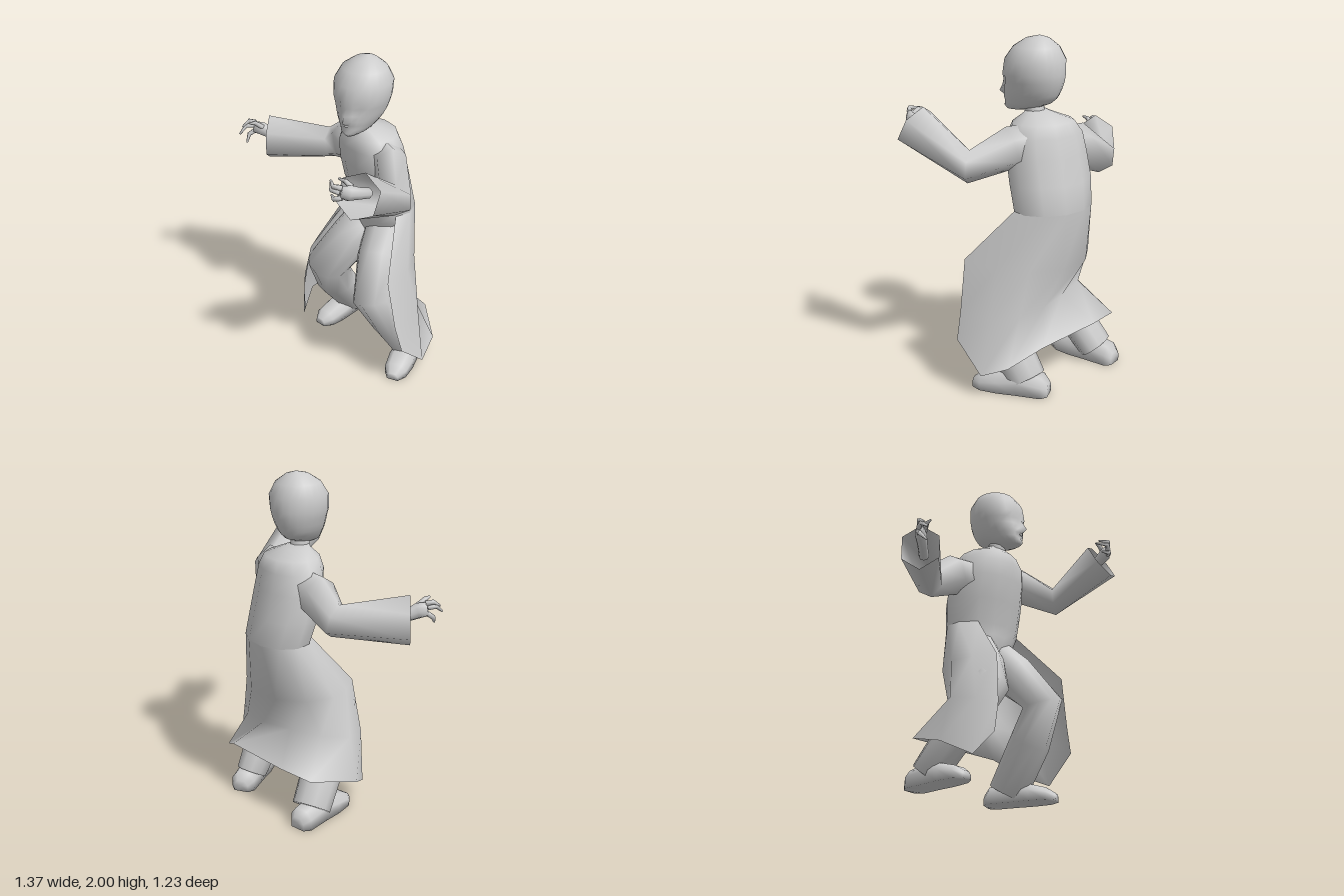
import * as THREE from 'three';

const V = (x, y, z) => new THREE.Vector3(x, y, z);
const grey = new THREE.MeshStandardMaterial({ color: 0xcccccc });
const cloth = new THREE.MeshStandardMaterial({ color: 0xcccccc, side: THREE.DoubleSide });

// Skin a list of equal-length rings of points, optionally closing the loop and the ends
function loft(name, rings, { closed = true, caps = true, material = grey } = {}) {
  const n = rings[0].length, pos = [], idx = [];
  rings.forEach(r => r.forEach(p => pos.push(p.x, p.y, p.z)));
  for (let i = 0; i < rings.length - 1; i++) {
    for (let j = 0; j < (closed ? n : n - 1); j++) {
      const k = (j + 1) % n, a = i * n, b = a + n;
      idx.push(a + j, a + k, b + k, a + j, b + k, b + j);
    }
  }
  if (caps) {
    [0, rings.length - 1].forEach((i, end) => {
      const c = rings[i].reduce((s, p) => s.add(p), V(0, 0, 0)).divideScalar(n);
      const ci = pos.length / 3;
      pos.push(c.x, c.y, c.z);
      for (let j = 0; j < n; j++) {
        const p = i * n + j, q = i * n + (j + 1) % n;
        idx.push(...(end ? [ci, p, q] : [ci, q, p]));
      }
    });
  }
  const g = new THREE.BufferGeometry();
  g.setAttribute('position', new THREE.Float32BufferAttribute(pos, 3));
  g.setIndex(idx);
  g.computeVertexNormals();
  const mesh = new THREE.Mesh(g, material);
  mesh.name = name;
  return mesh;
}

// n points of an ellipse arc; a full turn by default
function ellipse(c, u, v, n, from = 0, step = Math.PI * 2 / n) {
  return Array.from({ length: n }, (_, k) => {
    const t = from + k * step;
    return c.clone().addScaledVector(u, Math.cos(t)).addScaledVector(v, Math.sin(t));
  });
}

// Tapered limb through stations [x, y, z, radius along hint, other radius]
function limb(name, st, hint, n = 10, options) {
  const p = st.map(s => V(s[0], s[1], s[2]));
  const rings = st.map((s, i) => {
    const d = V(0, 0, 0);
    if (i > 0) d.add(p[i].clone().sub(p[i - 1]).normalize());
    if (i < p.length - 1) d.add(p[i + 1].clone().sub(p[i]).normalize());
    d.normalize();
    const a = hint.clone().addScaledVector(d, -hint.dot(d)).normalize();
    const b = d.clone().cross(a);
    return ellipse(p[i], a.multiplyScalar(s[3]), b.multiplyScalar(s[4] ?? s[3]), n);
  });
  return loft(name, rings, options);
}

function makeHead() {
  // y, half width, front, back
  const rows = [
    [1.58, .035, .155, .04], [1.6, .07, .168, -.05], [1.625, .092, .165, -.115], [1.65, .108, .168, -.145],
    [1.675, .123, .166, -.16], [1.71, .138, .164, -.175], [1.75, .15, .165, -.187], [1.79, .162, .17, -.192],
    [1.87, .167, .155, -.192], [1.94, .13, .105, -.155], [1.985, .065, .035, -.1], [2, .012, -.03, -.055],
  ];
  const n = 24, front = 18;
  const rings = rows.map(([y, w, f, b]) => ellipse(V(0, y, (f + b) / 2), V(w, 0, 0), V(0, 0, (b - f) / 2), n)
    .map((p, k) => {
      const off = Math.abs(k - front);
      if (off === 0 && y > 1.66 && y < 1.72) p.z += y < 1.7 ? .038 : .022;  // nose
      if (off === 2 && y === 1.75) p.z -= .014;                             // eye sockets
      if (off <= 1 && y === 1.625) p.z -= .008;                             // mouth crease
      return p;
    }));
  const head = new THREE.Group();
  head.name = 'head';
  head.add(loft('skull', rings));
  head.add(limb('lips', [[-.028, 1.645, .152, .006], [0, 1.647, .165, .01], [.028, 1.645, .152, .006]], V(0, 1, 0), 6));
  head.position.set(.17, 0, -.1);
  head.rotation.y = -.25;
  return head;
}

// Body cross-section turned 45 degrees to the right: nine points round the back, then three across the chest
function bodyRing([y, x, z, w, d]) {
  const c = V(x, y, z), u = V(.71 * w, 0, .71 * w), v = V(.71 * d, 0, -.71 * d);
  const from = -.25, to = Math.PI + 1.1, gap = Math.PI * 2 + from - to;
  return [...ellipse(c, u, v, 9, from, (to - from) / 8), ...ellipse(c, u, v, 3, to + gap / 4, gap / 4)];
}

const waist = [1.05, .275, -.24, .24, .175];

function makeTorso() {
  // y, centre x, centre z, half width, half depth
  const rows = [
    [.8, .25, -.22, .1, .09], [.9, .255, -.235, .17, .14], [.98, .265, -.235, .215, .155], waist,
    [1.2, .24, -.22, .255, .18], [1.35, .217, -.192, .25, .18], [1.46, .207, -.178, .235, .17],
    [1.53, .205, -.17, .185, .15], [1.57, .185, -.14, .09, .075], [1.585, .17, -.125, .06, .05],
  ];
  return loft('torso', rows.map(bodyRing));
}

// Open-fronted skirt of the coat, from the right front edge round the back to the left
function makeCoatSkirt() {
  const rows = [
    [[-.12, .73, -.03], [-.12, .73, -.18], [-.08, .73, -.32], [.06, .73, -.42], [.24, .73, -.43],
      [.42, .73, -.33], [.51, .73, -.15], [.52, .74, .04], [.45, .76, .235]],
    [[-.16, .42, -.01], [-.2, .44, -.13], [-.17, .47, -.29], [-.01, .49, -.355], [.2, .48, -.29],
      [.39, .47, -.21], [.53, .46, -.1], [.6, .46, .05], [.51, .46, .25]],
    [[-.16, .25, -.03], [-.215, .11, -.14], [-.22, .2, -.33], [.0, .3, -.57], [.2, .31, -.48],
      [.58, .31, -.24], [.68, .21, -.06], [.655, .14, .1], [.56, .31, .26]],
  ];
  const top = bodyRing(waist).slice(0, 9).reverse();
  const rings = [top, ...rows.map(r => r.map(p => V(...p)))];
  return loft('coatSkirt', rings, { closed: false, caps: false, material: cloth });
}

// Shoe running from heel to toe on the ground
function makeShoe(name, heel, toe) {
  const f = V(toe[0] - heel[0], 0, toe[1] - heel[1]), s = V(0, 1, 0).cross(f).normalize();
  const outline = [[1, 0], [1, .6], [.55, 1], [-.55, 1], [-1, .6], [-1, 0]];
  // distance along foot, half width, height
  const rows = [[0, .045, .07], [.08, .075, .11], [.4, .075, .135], [.65, .08, .11], [.88, .07, .08], [1, .035, .045]];
  return loft(name, rows.map(([t, w, h]) => outline.map(([a, b]) =>
    V(heel[0], b * h, heel[1]).addScaledVector(f, t).addScaledVector(s, a * w))));
}

// Hand with a palm and curled fingers, each given as [knuckle, bend, tip]
function makeHand(name, palm, fingers) {
  const hand = new THREE.Group();
  hand.name = name;
  hand.add(limb('palm', palm, V(0, 1, 0), 8));
  for (const [a, b, c] of fingers) {
    hand.add(limb('finger', [[...a, .017], [...b, .014], [...c, .006]], V(0, 1, .3), 5));
  }
  return hand;
}

export function createModel() {
  const model = new THREE.Group();
  model.name = 'figure';
  const up = V(0, 1, 0), side = V(1, 0, 0), open = { caps: false, material: cloth };

  model.add(makeHead(), makeTorso(), makeCoatSkirt());
  model.add(limb('neck', [[.18, 1.5, -.13, .06], [.165, 1.66, -.1, .055]], side));

  // Wide sleeves, open at the cuff
  model.add(limb('rightSleeve', [[.12, 1.37, -.26, .11], [.01, 1.35, -.34, .13, .11], [-.12, 1.255, -.46, .1, .095],
    [-.52, 1.265, -.38, .145, .125]], up, 6, open));
  model.add(limb('leftSleeve', [[.29, 1.42, -.1, .11], [.37, 1.405, -.02, .125, .1], [.465, 1.31, .2, .095, .1],
    [.35, 1.5, .535, .13, .14]], up, 6, open));

  // Hands
  model.add(makeHand('rightHand',
    [[-.4, 1.27, -.4, .03], [-.5, 1.29, -.375, .035, .03], [-.56, 1.32, -.365, .045, .035], [-.61, 1.33, -.355, .04, .022]],
    [[[-.6, 1.36, -.36], [-.64, 1.37, -.35], [-.67, 1.34, -.31]],
      [[-.61, 1.34, -.36], [-.655, 1.34, -.33], [-.68, 1.3, -.285]],
      [[-.6, 1.31, -.36], [-.64, 1.28, -.34], [-.64, 1.24, -.3]],
      [[-.55, 1.34, -.35], [-.59, 1.375, -.32], [-.61, 1.38, -.29]]]));
  model.add(makeHand('leftHand',
    [[.38, 1.48, .45, .03], [.35, 1.51, .52, .035, .03], [.31, 1.53, .565, .045, .035], [.275, 1.54, .585, .035, .022]],
    [[[.28, 1.565, .585], [.235, 1.575, .6], [.205, 1.575, .545]],
      [[.27, 1.54, .59], [.225, 1.55, .595], [.2, 1.555, .53]],
      [[.28, 1.51, .59], [.24, 1.5, .6], [.215, 1.5, .56]],
      [[.32, 1.56, .55], [.28, 1.58, .535], [.24, 1.58, .52]]]));

  // Trouser legs bent at the knee
  model.add(limb('rightLeg', [[.2, .9, -.26, .14], [.09, .76, -.18, .135], [-.035, .58, -.11, .13],
    [-.03, .37, -.25, .13, .115], [.02, .08, -.475, .118, .1]], side));
  model.add(limb('leftLeg', [[.33, .9, -.2, .14], [.32, .75, -.03, .135], [.34, .57, .135, .13, .125],
    [.43, .35, .03, .125, .125], [.505, .07, -.13, .095, .12]], side));
  model.add(makeShoe('rightShoe', [.07, -.6], [-.12, -.2]));
  model.add(makeShoe('leftShoe', [.53, -.27], [.49, .18]));
  return model;
}
